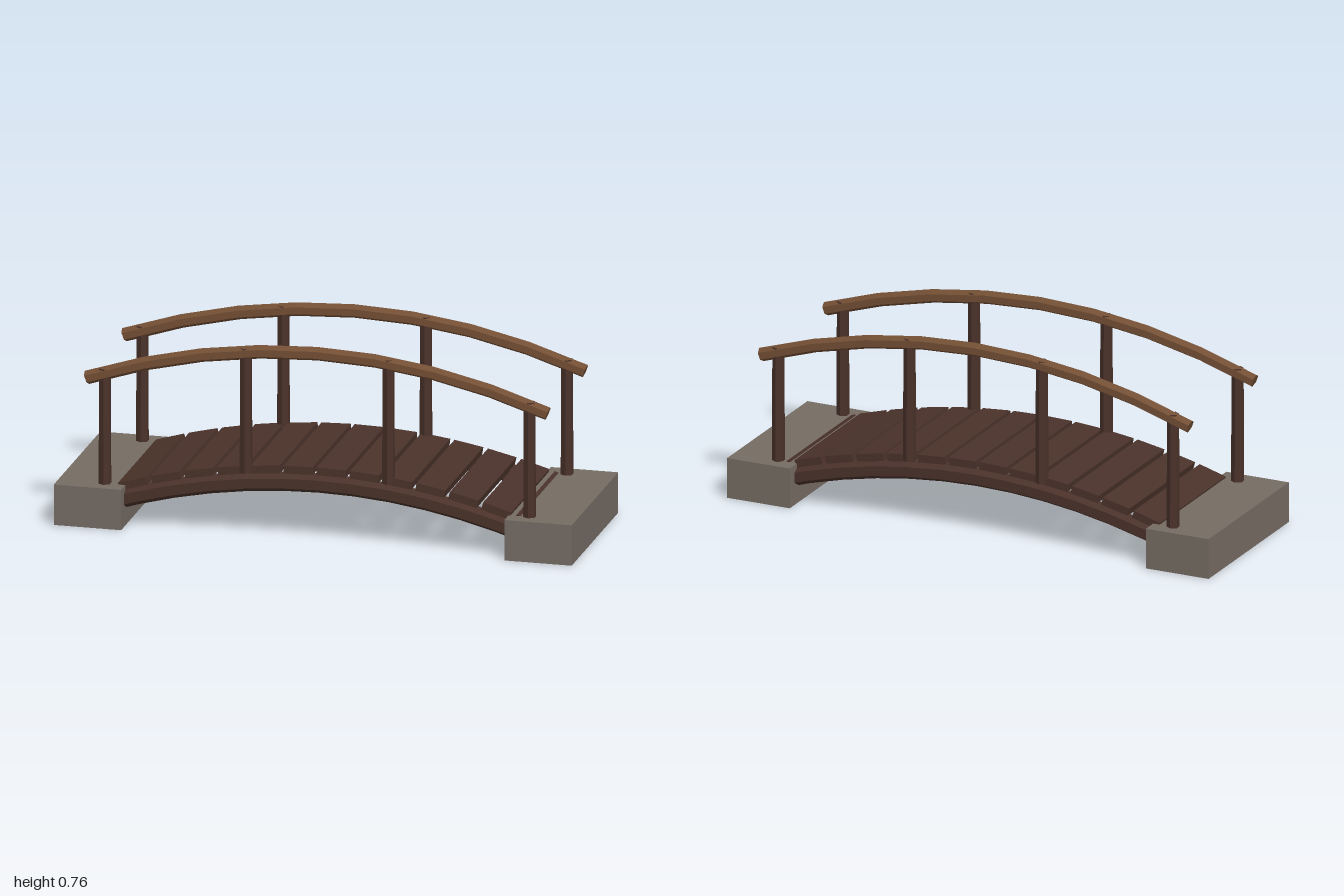
import * as THREE from 'three';

const SAG = 0.207; // every curve of the bridge shares this arch
const arch = (x, crown) => crown - SAG * x * x;
const tilt = (x) => Math.atan(-2 * SAG * x);

// Six-sided log lying along x, bent to follow the arch
function bentLog(radius, halfLength, segments, crown) {
  const geo = new THREE.CylinderGeometry(radius, radius, halfLength * 2, 6, segments);
  geo.rotateY(Math.PI / 6);
  geo.rotateZ(Math.PI / 2);
  const pos = geo.attributes.position;
  for (let i = 0; i < pos.count; i++) {
    const x = pos.getX(i);
    const v = pos.getY(i);
    const a = tilt(x);
    pos.setXY(i, x - v * Math.sin(a), arch(x, crown) + v * Math.cos(a));
  }
  geo.computeVertexNormals();
  return geo;
}

export function createModel() {
  const paint = (name, color) => {
    const m = new THREE.MeshStandardMaterial({ color, flatShading: true });
    m.name = name;
    return m;
  };
  const stone = paint('stone', 0x756b63);
  const darkWood = paint('darkWood', 0x4a322a);
  const railWood = paint('railWood', 0x734f34);

  const bridge = new THREE.Group();
  bridge.name = 'footbridge';
  const add = (name, geo, mat, x, y, z) => {
    const mesh = new THREE.Mesh(geo, mat);
    mesh.name = name;
    mesh.position.set(x, y, z);
    bridge.add(mesh);
    return mesh;
  };

  // Stone footings at both ends
  for (const s of [-1, 1]) {
    add('footing', new THREE.BoxGeometry(0.26, 0.158, 0.684), stone, s * 0.87, 0.079, 0);
  }

  // Deck planks, each tilted with the arch; the last one sinks into the footing
  const plank = new THREE.BoxGeometry(0.113, 0.03, 0.56);
  for (let i = 0; i < 13; i++) {
    const x = -0.71 + i * 0.1275;
    add('plank', plank, darkWood, x, arch(x, 0.27), 0).rotation.z = tilt(x);
  }

  // Arched beams, posts and handrails on both sides
  const beam = bentLog(0.038, 0.84, 12, 0.222);
  const rail = bentLog(0.0265, 0.89, 8, 0.73);
  for (const s of [-1, 1]) {
    add('beam', beam, darkWood, 0, 0, s * 0.268);
    add('handrail', rail, railWood, 0, 0, s * 0.275);
    for (const x of [-0.82, -0.275, 0.275, 0.82]) {
      const bottom = Math.abs(x) > 0.5 ? 0.12 : 0.245;
      const top = arch(x, 0.73) + 0.016;
      const post = new THREE.CylinderGeometry(0.0225, 0.025, top - bottom, 6);
      add('post', post, darkWood, x, (top + bottom) / 2, s * 0.275);
    }
  }
  return bridge;
}
